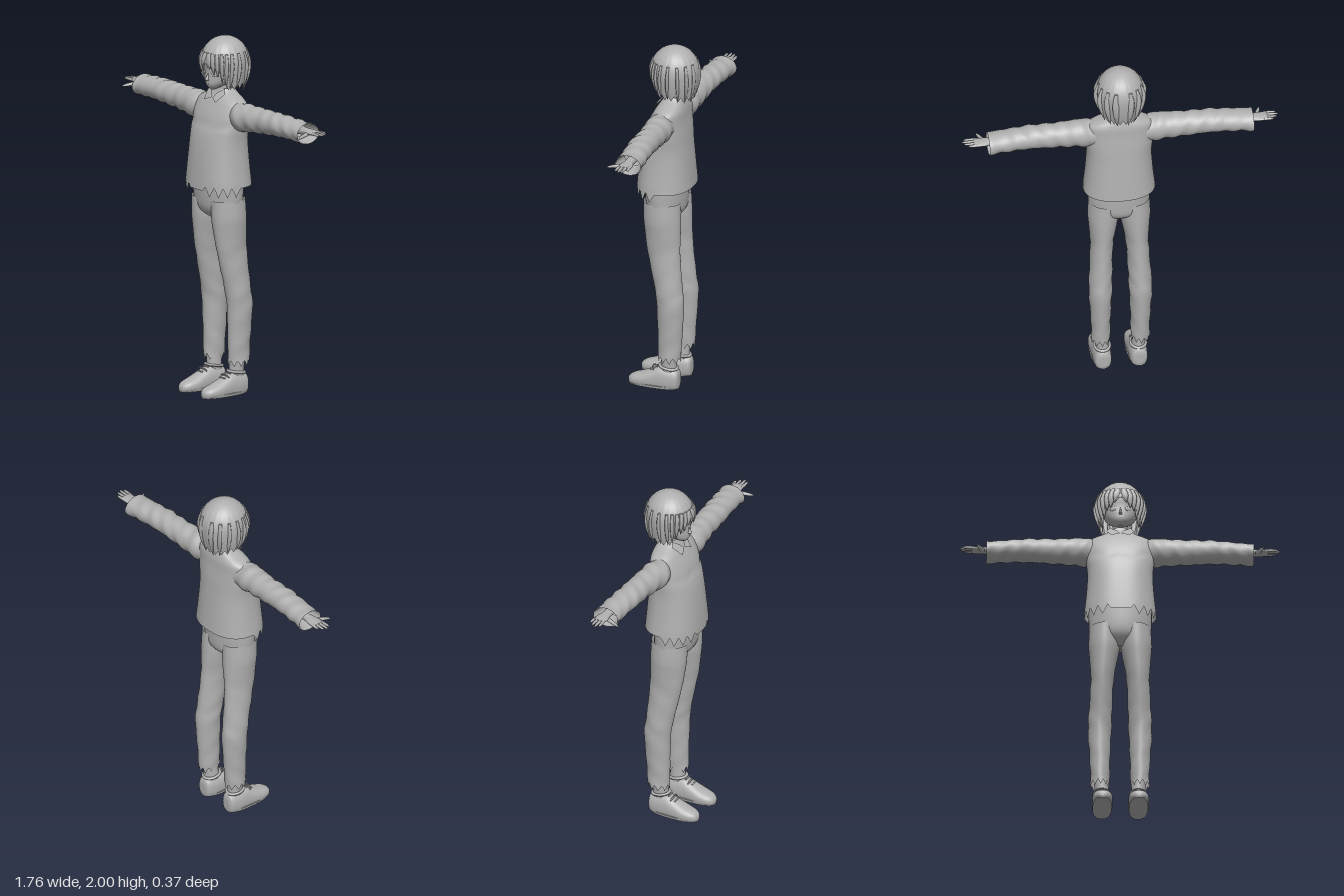
import * as THREE from 'three';
import { mergeGeometries } from 'three/addons/utils/BufferGeometryUtils.js';

const clay = new THREE.MeshStandardMaterial({ color: 0xb0b0b0, side: THREE.DoubleSide });
clay.name = 'soft grey';

// Where (t, a, b) of a loft goes for each axis
const AXES = {
  x: (t, a, b) => new THREE.Vector3(t, b, a),
  y: (t, a, b) => new THREE.Vector3(a, t, b),
  z: (t, a, b) => new THREE.Vector3(b, a, t),
};

const spline = (p0, p1, p2, p3, f) => 0.5 * (2 * p1 + (p2 - p0) * f
  + (2 * p0 - 5 * p1 + 4 * p2 - p3) * f * f + (3 * p1 - p0 - 3 * p2 + p3) * f * f * f);

// Grid of rings joined by faces, with optional flat end caps
function skin(rings, caps = true) {
  const n = rings[0].length, pts = rings.flat(), index = [];
  for (let i = 0; i < rings.length - 1; i++) for (let j = 0; j < n; j++) {
    const a = i * n + j, b = i * n + (j + 1) % n;
    index.push(a, a + n, b, b, a + n, b + n);
  }
  if (caps) for (const end of [0, rings.length - 1]) {
    const ring = rings[end], base = pts.length;
    const mid = ring.reduce((s, p) => s.add(p), new THREE.Vector3()).divideScalar(n);
    pts.push(...ring, mid);
    for (let j = 0; j < n; j++) {
      const a = base + j, b = base + (j + 1) % n;
      index.push(...(end ? [a, base + n, b] : [a, b, base + n]));
    }
  }
  const g = new THREE.BufferGeometry().setFromPoints(pts);
  g.setIndex(index);
  g.computeVertexNormals();
  return g;
}

// Loft through rows [t, centreA, centreB, radiusA, radiusB] with superellipse sections
function loft(axis, rows, { n = 24, steps = 4, e = 2, caps = true, tweak } = {}) {
  const rings = [], last = rows.length - 1;
  for (let i = 0; i <= last * steps; i++) {
    const k = Math.min(Math.floor(i / steps), last - 1), f = i / steps - k;
    const r = rows[k].map((v, c) => spline(rows[Math.max(k - 1, 0)][c], v, rows[k + 1][c],
      rows[Math.min(k + 2, last)][c], f));
    const ring = [];
    for (let j = 0; j < n; j++) {
      const u = j / n * Math.PI * 2, c = Math.cos(u), s = Math.sin(u);
      const p = AXES[axis](r[0], r[1] + r[3] * Math.sign(c) * Math.abs(c) ** (2 / e),
        r[2] + r[4] * Math.sign(s) * Math.abs(s) ** (2 / e));
      if (tweak) tweak(p, i, j, u);
      ring.push(p);
    }
    rings.push(ring);
  }
  return skin(rings, caps);
}

function mirrored(g) {
  const m = g.clone().scale(-1, 1, 1), ix = m.index.array;
  for (let i = 0; i < ix.length; i += 3) [ix[i], ix[i + 1]] = [ix[i + 1], ix[i]];
  m.computeVertexNormals();
  return m;
}

// Hair surface: angle u (front at PI/2) and height y
function hairPoint(u, y, grow = 1) {
  const up = Math.max(0, y - 1.86) / 0.14, down = Math.max(0, 1.86 - y) / 0.16;
  const r = grow * Math.sqrt(Math.max(0, 1 - up * up)) * (1 - 0.2 * down * down);
  return new THREE.Vector3(Math.cos(u) * 0.13 * r, y, -0.047 + Math.sin(u) * 0.137 * r);
}

function hairCap() {
  const n = 120, rows = 26, rings = [];
  for (let i = rows; i >= 0; i--) {
    const ring = [], v = i / rows;
    for (let j = 0; j < n; j++) {
      const u = j / n * Math.PI * 2;
      const off = Math.abs(Math.atan2(Math.cos(u), Math.sin(u)));
      const side = THREE.MathUtils.smoothstep(off, 0.5, 1.15);
      const tooth = Math.abs((j % 6) - 3) / 3;
      const hem = 1.84 - 0.125 * side - 0.012 * (off > 2 ? 1 : 0) + 0.03 * tooth;
      const y = v < 0.5 ? 1.86 + 0.14 * Math.cos(v * Math.PI) : 1.86 + (hem - 1.86) * (2 * v - 1);
      ring.push(hairPoint(u, y, 1 - 0.02 * tooth * Math.min(1, v * 2)));
    }
    rings.push(ring);
  }
  return skin(rings, false);
}

// Pointed lock lying on the hair surface
function lock(u, top, tip, lean, width) {
  const rows = [0, 0.35, 0.7, 1].map((f) => {
    const p = hairPoint(u + lean * (1 - f), tip + (top - tip) * f, 0.985);
    const w = [0.001, 0.75, 1, 0.5][Math.round(f * 3)] * width;
    return [p.y, p.x, p.z, w, Math.min(w, 0.008)];
  });
  return loft('y', rows, { n: 8, steps: 3 });
}

export function createModel() {
  const model = new THREE.Group();
  const add = (name, g) => {
    const m = new THREE.Mesh(g, clay);
    m.name = name;
    model.add(m);
  };
  const pair = (name, g) => {
    add('left ' + name, g);
    add('right ' + name, mirrored(g));
  };

  // Head, neck and face
  add('head', loft('y', [[1.71, 0, 0.034, 0.012, 0.016], [1.735, 0, 0.016, 0.05, 0.055],
    [1.77, 0, -0.015, 0.082, 0.088], [1.82, 0, -0.035, 0.1, 0.104], [1.88, 0, -0.04, 0.1, 0.11],
    [1.95, 0, -0.045, 0.06, 0.07]], { n: 32 }));
  add('neck', loft('y', [[1.64, 0, -0.045, 0.05, 0.048], [1.7, 0, -0.042, 0.042, 0.042],
    [1.77, 0, -0.04, 0.044, 0.044]]));
  add('nose', loft('y', [[1.762, 0, 0.07, 0.006, 0.006], [1.77, 0, 0.074, 0.009, 0.018],
    [1.785, 0, 0.07, 0.006, 0.012], [1.81, 0, 0.064, 0.003, 0.004]], { n: 12 }));
  add('mouth', new THREE.SphereGeometry(1, 12, 8).scale(0.014, 0.003, 0.004).translate(0, 1.744, 0.07));
  pair('eye', new THREE.SphereGeometry(1, 16, 10).scale(0.019, 0.013, 0.004)
    .rotateY(0.42).translate(0.042, 1.803, 0.06));
  pair('ear', new THREE.SphereGeometry(1, 12, 10).scale(0.012, 0.03, 0.02).translate(0.1, 1.8, -0.04));

  // Hair cap with fringe and side locks
  add('hair cap', hairCap());
  const locks = [];
  for (const s of [-1, 1]) {
    [[0.12, 1.83, 0.14], [0.34, 1.8, 0.12], [0.56, 1.79, 0.08], [0.78, 1.755, 0.05],
      [1.0, 1.73, 0.0], [1.25, 1.715, -0.05], [1.6, 1.715, -0.05], [2.0, 1.7, 0.05],
      [2.4, 1.69, 0.05], [2.8, 1.685, 0.04]].forEach(([a, tip, lean]) =>
      locks.push(lock(Math.PI / 2 - s * a, 1.92, tip, -s * lean, 0.02)));
  }
  add('hair locks', mergeGeometries(locks));

  // Sweater body with ragged front hem
  add('sweater', loft('y', [[1.18, 0, -0.003, 0.2, 0.157], [1.3, 0, -0.003, 0.187, 0.147],
    [1.42, 0, -0.005, 0.18, 0.134], [1.5, 0, -0.012, 0.186, 0.12], [1.58, 0, -0.022, 0.19, 0.1],
    [1.63, 0, -0.033, 0.183, 0.085], [1.655, 0, -0.038, 0.155, 0.075],
    [1.675, 0, -0.042, 0.11, 0.065], [1.695, 0, -0.045, 0.07, 0.056], [1.712, 0, -0.045, 0.052, 0.05]],
  { n: 80, e: 2.3, caps: false, tweak: (p, i, j) => {
    if (i === 0 && p.z > 0.01) p.y = Math.abs(p.x) < 0.07 ? 1.162 : [1.185, 1.155, 1.13, 1.16][j % 4];
    // Soft fold across the chest
    const d = (p.y - 1.52 - 0.008 * Math.cos(p.x * 40)) / 0.012;
    if (p.z > 0 && Math.abs(p.x) < 0.17) p.z -= 0.006 * Math.exp(-d * d);
  } }));

  // Collar flaps
  const flap = new THREE.BufferGeometry().setFromPoints([[0.003, 1.664, 0.043], [0.05, 1.645, 0.06],
    [0.078, 1.69, 0.012], [0.056, 1.716, -0.005], [0.022, 1.69, 0.026]]
    .map((p) => new THREE.Vector3(...p)));
  flap.setIndex([0, 1, 4, 1, 2, 4, 2, 3, 4]);
  flap.computeVertexNormals();
  pair('collar flap', flap);

  // Sleeves with gentle wrinkles and open cuffs
  pair('sleeve', loft('x', [[0.13, -0.03, 1.575, 0.068, 0.07], [0.2, -0.025, 1.577, 0.077, 0.079],
    [0.28, -0.03, 1.582, 0.073, 0.073], [0.38, -0.036, 1.586, 0.068, 0.069],
    [0.5, -0.038, 1.59, 0.071, 0.064], [0.62, -0.046, 1.588, 0.071, 0.06],
    [0.735, -0.052, 1.582, 0.075, 0.058]],
  { n: 32, steps: 6, caps: false, tweak: (p, i, j, u) => {
    p.y += 0.003 * Math.sin(p.x * 75 + u * 2);
    p.z += 0.003 * Math.cos(p.x * 60 + u);
  } }));
  pair('cuff lining', loft('x', [[0.64, -0.048, 1.588, 0.05, 0.042], [0.7, -0.051, 1.585, 0.065, 0.05],
    [0.735, -0.052, 1.582, 0.074, 0.057]], { caps: false }));

  // Hands: wrist and palm, four fingers, thumb
  const hand = [loft('x', [[0.6, -0.052, 1.592, 0.032, 0.03], [0.71, -0.053, 1.594, 0.025, 0.021],
    [0.75, -0.054, 1.596, 0.034, 0.016], [0.79, -0.056, 1.598, 0.038, 0.013],
    [0.815, -0.056, 1.599, 0.035, 0.009]], { n: 20 })];
  [[-0.087, 0.85], [-0.067, 0.871], [-0.046, 0.88], [-0.026, 0.869]].forEach(([z, tip]) => {
    const mid = z * 0.9 - 0.0056;
    hand.push(loft('x', [[0.795, mid, 1.599, 0.009, 0.009], [(0.8 + tip) / 2, z, 1.6, 0.008, 0.008],
      [tip - 0.01, z, 1.6, 0.006, 0.006], [tip, z, 1.599, 0.001, 0.001]], { n: 10, steps: 3 }));
  });
  hand.push(loft('z', [[-0.05, 1.592, 0.75, 0.012, 0.018], [-0.01, 1.587, 0.765, 0.011, 0.013],
    [0.025, 1.583, 0.777, 0.009, 0.009], [0.045, 1.58, 0.784, 0.006, 0.006],
    [0.054, 1.579, 0.787, 0.001, 0.001]], { n: 12, steps: 3 }));
  pair('hand', mergeGeometries(hand));

  // Trousers: hips and creased legs with ragged hems
  add('trouser hips', loft('y', [[0.985, 0, -0.01, 0.04, 0.05], [1.03, 0, -0.006, 0.15, 0.098],
    [1.1, 0, -0.002, 0.171, 0.111], [1.22, 0, 0, 0.174, 0.113]], { n: 40 }));
  pair('trouser leg', loft('y', [[0.18, 0.11, -0.056, 0.052, 0.065], [0.3, 0.11, -0.06, 0.054, 0.069],
    [0.5, 0.112, -0.063, 0.064, 0.078], [0.6, 0.108, -0.05, 0.064, 0.08],
    [0.8, 0.099, -0.02, 0.063, 0.094], [0.93, 0.091, -0.01, 0.078, 0.103],
    [1.0, 0.088, -0.006, 0.086, 0.106], [1.1, 0.085, -0.003, 0.084, 0.105]],
  { n: 40, e: 1.9, caps: false, tweak: (p, i, j, u) => {
    if (i === 0) p.y += [0.012, 0, -0.022, -0.005][j % 4];
    p.x += 0.0025 * Math.sin(p.y * 45 + u * 2) * (p.y < 0.85 ? 1 : 0);
  } }));

  // Ankles and shoes
  pair('ankle', loft('y', [[0.07, 0.1, -0.05, 0.042, 0.05], [0.13, 0.1, -0.05, 0.038, 0.044],
    [0.23, 0.107, -0.052, 0.04, 0.046]]));
  pair('shoe', loft('z', [[-0.112, 0.05, 0.1, 0.03, 0.02], [-0.1, 0.05, 0.1, 0.062, 0.043],
    [-0.05, 0.045, 0.1, 0.075, 0.051], [0, 0.045, 0.1, 0.076, 0.052], [0.04, 0.04, 0.1, 0.063, 0.054],
    [0.1, 0.03, 0.1, 0.045, 0.056], [0.15, 0.025, 0.1, 0.033, 0.047], [0.177, 0.02, 0.1, 0.022, 0.028],
    [0.185, 0.018, 0.1, 0.008, 0.01]],
  { n: 32, e: 2.3, tweak: (p) => { p.y = Math.max(p.y, 0.002); } }));
  pair('shoe sole', loft('y', [[0, 0.1, 0.037, 0.053, 0.146], [0.016, 0.1, 0.037, 0.057, 0.148]],
    { n: 40, e: 2.4, steps: 1 }));
  pair('shoe collar', new THREE.TorusGeometry(0.043, 0.008, 8, 28).rotateX(Math.PI / 2)
    .scale(1, 1, 1.15).rotateX(-0.15).translate(0.1, 0.122, -0.048));
  const laces = [];
  [[0.01, 0.121], [0.03, 0.11], [0.05, 0.099]].forEach(([z, y]) =>
    laces.push(new THREE.CapsuleGeometry(0.004, 0.045, 3, 8).rotateZ(Math.PI / 2).translate(0.1, y, z)));
  for (const s of [-1, 1]) laces.push(new THREE.CapsuleGeometry(0.004, 0.035, 3, 8)
    .rotateZ(s * 1.05).rotateX(0.5).translate(0.1 + s * 0.02, 0.112, 0.035));
  pair('laces', mergeGeometries(laces));

  return model;
}
